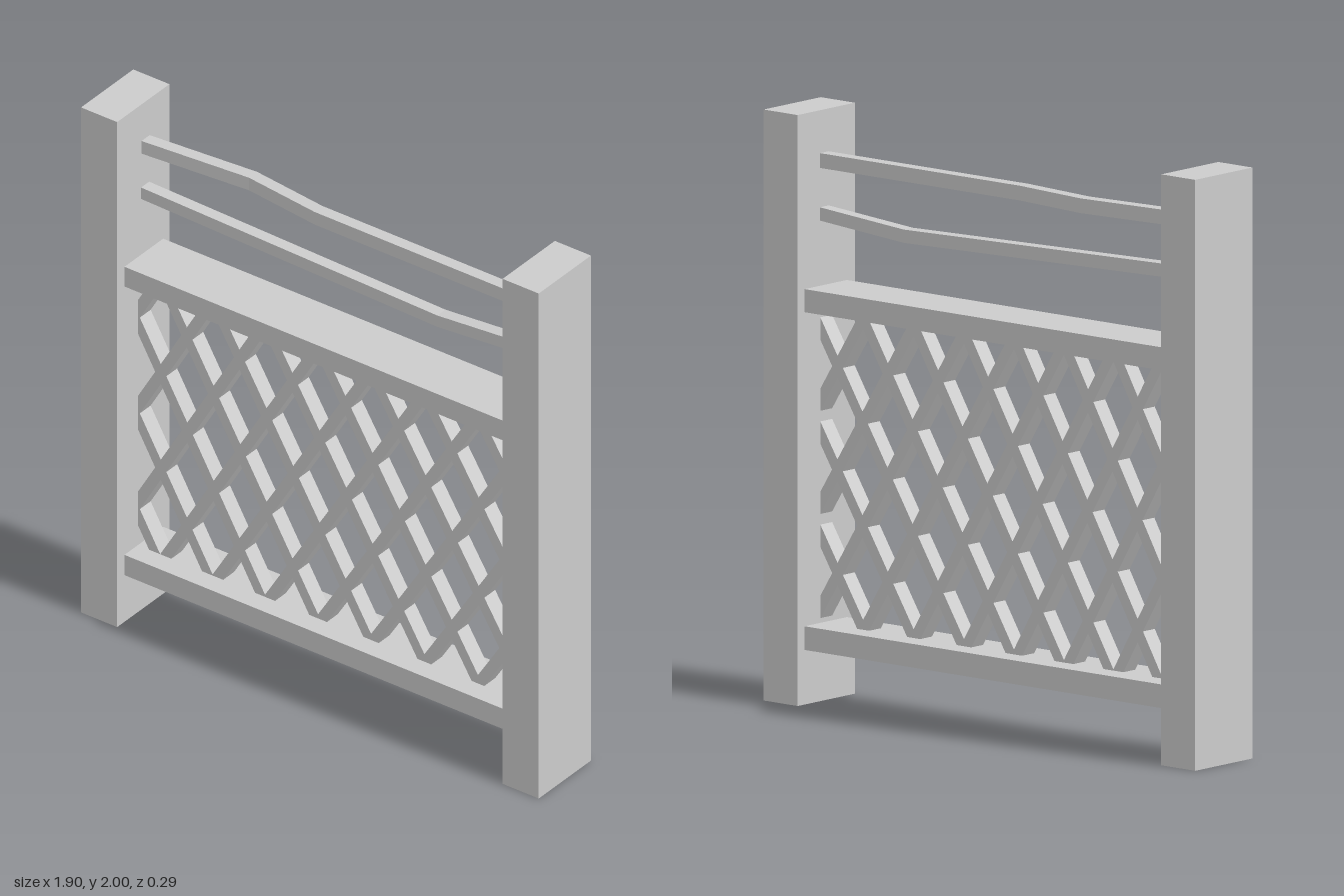
import * as THREE from 'three';

const material = new THREE.MeshStandardMaterial({ color: 0xcccccc, flatShading: true });

function addBox(parent, name, size, position) {
  const mesh = new THREE.Mesh(new THREE.BoxGeometry(...size), material);
  mesh.name = name;
  mesh.position.set(...position);
  parent.add(mesh);
  return mesh;
}

// Square rod following a bent centre line, extruded across its own plane
function bentRod(points, width, depth) {
  const h = width / 2;
  const outline = [
    ...points.map(([x, y]) => new THREE.Vector2(x, y - h)),
    ...points.map(([x, y]) => new THREE.Vector2(x, y + h)).reverse(),
  ];
  const geometry = new THREE.ExtrudeGeometry(new THREE.Shape(outline), { depth, bevelEnabled: false });
  return geometry.translate(0, 0, -depth / 2);
}

export function createModel() {
  const group = new THREE.Group();
  group.name = 'latticeFence';

  // Posts
  for (const [side, name] of [[1, 'leftPost'], [-1, 'rightPost']]) {
    addBox(group, name, [0.15, 2, 0.29], [side * 0.875, 1, 0]);
  }

  // Wide rails framing the lattice
  addBox(group, 'bottomRail', [1.6, 0.08, 0.215], [0, 0.225, -0.003]);
  addBox(group, 'middleRail', [1.6, 0.078, 0.215], [0, 1.367, -0.003]);

  // Upper rod, bowed backwards
  const upper = new THREE.Mesh(
    bentRod([[-0.81, 0.012], [-0.38, 0.047], [-0.08, 0.01], [0.81, 0.01]], 0.045, 0.05), material);
  upper.name = 'upperRod';
  upper.rotation.x = -Math.PI / 2;
  upper.position.y = 1.83;
  group.add(upper);

  // Lower rod, sagging
  const lower = new THREE.Mesh(
    bentRod([[-0.81, 1.65], [0.43, 1.62], [0.81, 1.65]], 0.045, 0.045), material);
  lower.name = 'lowerRod';
  lower.position.z = -0.01;
  group.add(lower);

  // Crossed slats, cut off inside the posts and rails
  const lattice = new THREE.Group();
  lattice.name = 'lattice';
  const midY = 0.79, xLimit = 0.83, low = 0.245, high = 1.35;
  for (const lean of [-1, 1]) {
    for (let k = -2; k <= 9; k++) {
      const x0 = -0.595 + 0.22 * k;
      const slope = lean * (0.605 + 0.025 * THREE.MathUtils.clamp(x0 / 0.6, -1, 1));
      const yAt = [-xLimit, xLimit].map((x) => midY + (x - x0) / slope).sort((a, b) => a - b);
      const y1 = Math.max(low, yAt[0]);
      const y2 = Math.min(high, yAt[1]);
      if (y2 - y1 < 0.03) continue;
      const yc = (y1 + y2) / 2;
      const length = (y2 - y1) * Math.hypot(1, slope);
      const slat = addBox(lattice, 'slat', [0.04, length, 0.06], [x0 + slope * (yc - midY), yc, 0]);
      slat.rotation.z = -Math.atan(slope);
    }
  }
  group.add(lattice);

  return group;
}
